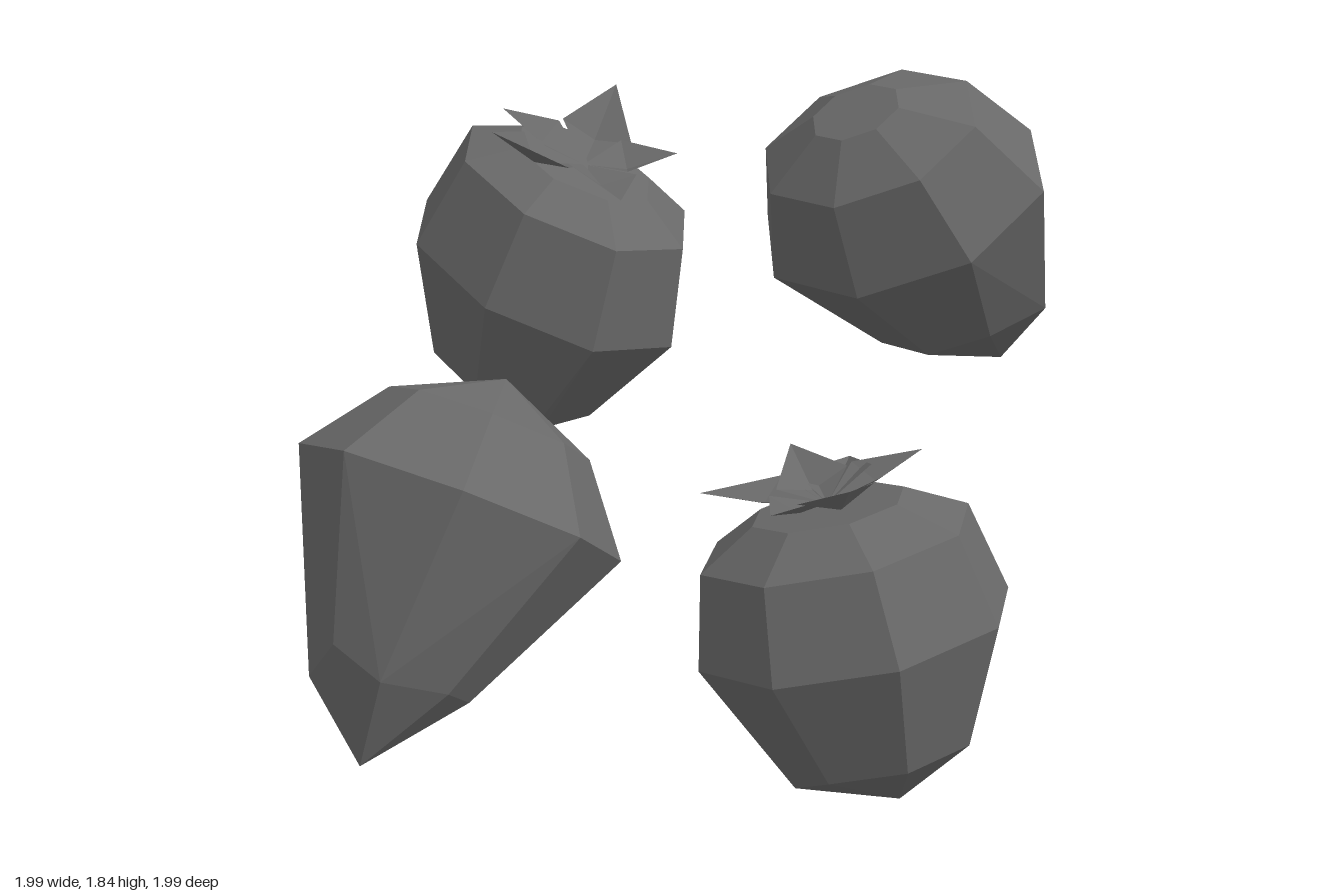
import * as THREE from 'three';
import { ConvexGeometry } from 'three/addons/geometries/ConvexGeometry.js';

const UP = new THREE.Vector3(0, 1, 0);

// centre: middle of the widest ring; axis: from tip to crown
// rings: [height from the centre along the axis, radius]; depth: oval ratio; turn: direction of the oval
// tips: lowest corners of the fruit; leaves: [angle in degrees, length, tip height]
const BERRIES = [
  {
    name: 'frontLeftBerry', centre: [0.51, 0.5, 0.375], axis: [-0.22, 0.97, -0.05],
    rings: [[-0.35, 0.29], [0, 0.455], [0.27, 0.39], [0.365, 0.22]],
    sides: 8, twist: 29, depth: 0.88, turn: -4,
    tips: [[0.65, 0, 0.41], [0.36, 0.05, 0.48]],
    leaves: [[190, 0.36, 0.06], [69, 0.3, 0.1], [-25, 0.3, 0.06], [-80, 0.28, 0.03], [240, 0.18, 0.13], [120, 0.25, 0.05]],
  },
  {
    name: 'backRightBerry', centre: [-0.51, 1.2, -0.59], axis: [0.33, 0.94, 0.1],
    rings: [[-0.35, 0.3], [0, 0.48], [0.3, 0.405], [0.38, 0.24]],
    sides: 8, twist: 29, depth: 0.81, turn: 37,
    tips: [[-0.72, 0.73, -0.69], [-0.5, 0.76, -0.41]],
    leaves: [[-90, 0.32, 0.14], [180, 0.28, 0.07], [130, 0.41, 0.12], [63, 0.33, 0.05], [-15, 0.26, 0.1]],
  },
  {
    name: 'frontRightBerry', centre: [-0.555, 0.9, 0.56], axis: [0.28, 0.83, -0.48],
    rings: [[-0.5, 0.21], [0, 0.465], [0.23, 0.29], [0.36, 0]],
    sides: 8, twist: 0, depth: 0.88, turn: -8,
    tips: [[-0.77, 0.28, 0.94], [-0.93, 0.48, 0.82], [-0.69, 0.56, 1], [-0.83, 0.63, 0.93]],
  },
  {
    name: 'backLeftBerry', centre: [0.565, 1.46, -0.565], axis: [-0.36, 0.84, 0.4],
    rings: [[-0.42, 0.26], [0, 0.46], [0.27, 0.345], [0.37, 0.14]],
    sides: 8, twist: 10, depth: 0.84, turn: 10,
    tips: [[0.87, 0.9, -0.84], [1, 1.11, -0.7]],
  },
];

// Faceted fruit body: the hull of oval rings stacked along y and the tip corners
function bodyGeometry({ rings, sides, twist, depth, turn }, tips) {
  const points = [...tips];
  for (const [y, r] of rings) {
    const count = r === 0 ? 1 : sides;
    for (let i = 0; i < count; i++) {
      const a = THREE.MathUtils.degToRad(twist) + (i / sides) * Math.PI * 2;
      const point = new THREE.Vector3(r * Math.cos(a), y, r * depth * Math.sin(a));
      points.push(point.applyAxisAngle(UP, -THREE.MathUtils.degToRad(turn)));
    }
  }
  return new ConvexGeometry(points);
}

// Pointed leaf running along +x, folded along its middle
function leafGeometry(length, height) {
  const base = [0, -0.01, 0];
  const fold = [length * 0.5, 0.01, 0];
  const left = [length * 0.42, 0.05, 0.11];
  const right = [length * 0.42, 0.05, -0.11];
  const tip = [length, height, 0];
  const faces = [base, left, fold, base, fold, right, left, tip, fold, fold, tip, right];
  const geometry = new THREE.BufferGeometry();
  geometry.setAttribute('position', new THREE.Float32BufferAttribute(faces.flat(), 3));
  geometry.computeVertexNormals();
  return geometry;
}

export function createModel() {
  const model = new THREE.Group();
  model.name = 'berries';
  const skin = new THREE.MeshStandardMaterial({ color: 0x696969, flatShading: true });
  const leafMaterial = new THREE.MeshStandardMaterial({ color: 0x696969, flatShading: true, side: THREE.DoubleSide });

  for (const spec of BERRIES) {
    const berry = new THREE.Group();
    berry.name = spec.name;
    berry.position.set(...spec.centre);
    berry.quaternion.setFromUnitVectors(UP, new THREE.Vector3(...spec.axis).normalize());
    berry.updateMatrixWorld();

    const tips = spec.tips.map((p) => berry.worldToLocal(new THREE.Vector3(...p)));
    const body = new THREE.Mesh(bodyGeometry(spec, tips), skin);
    body.name = 'fruitBody';
    berry.add(body);

    // Leafy crown on the flat top
    if (spec.leaves) {
      const crown = new THREE.Group();
      crown.name = 'leafCrown';
      crown.position.y = 0.385;
      for (const [angle, length, height] of spec.leaves) {
        const leaf = new THREE.Mesh(leafGeometry(length, height), leafMaterial);
        leaf.name = 'leaf';
        leaf.rotation.y = -THREE.MathUtils.degToRad(angle);
        crown.add(leaf);
      }
      berry.add(crown);
    }
    model.add(berry);
  }
  return model;
}
